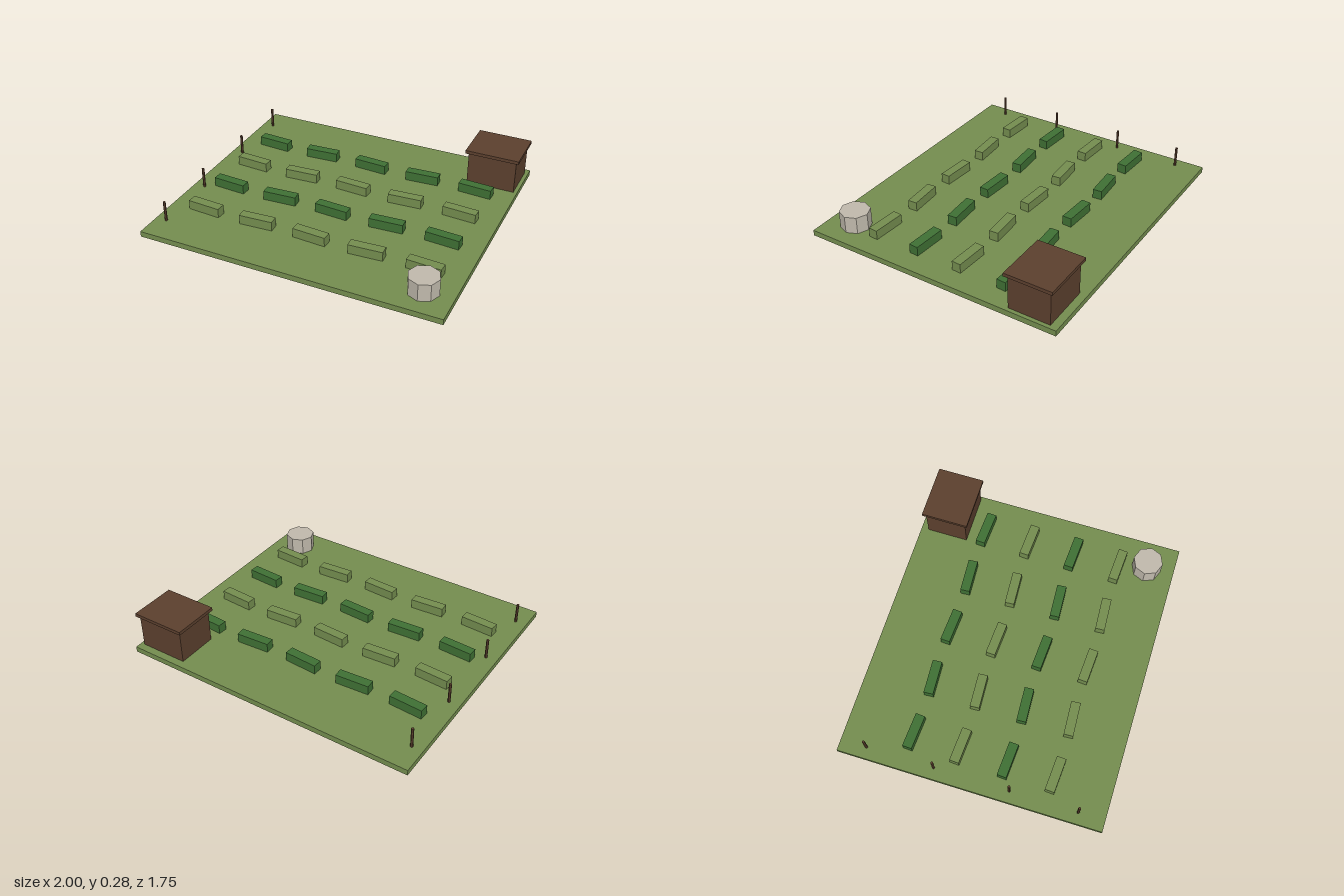
import * as THREE from 'three';

const material = (name, color) => {
  const m = new THREE.MeshStandardMaterial({ color });
  m.name = name;
  return m;
};

export function createModel() {
  const model = new THREE.Group();
  model.name = 'gardenPlot';

  const grass = material('grass green', 0x748d4f);
  const leaf = material('leaf green', 0x3f7034);
  const wood = material('dark wood', 0x5c402e);
  const stone = material('pale stone', 0xc0b9ac);
  const groundTop = 0.0375;

  // Places a part with its underside at height y
  const add = (name, geometry, mat, height, x, y, z) => {
    const mesh = new THREE.Mesh(geometry, mat);
    mesh.name = name;
    mesh.position.set(x, y + height / 2, z);
    model.add(mesh);
    return mesh;
  };
  const box = (name, mat, w, h, d, x, y, z) =>
    add(name, new THREE.BoxGeometry(w, h, d), mat, h, x, y, z);
  const cylinder = (name, mat, r, h, sides, x, y, z) => {
    const geometry = new THREE.CylinderGeometry(r, r, h, sides).toNonIndexed();
    geometry.computeVertexNormals(); // faceted sides
    return add(name, geometry, mat, h, x, y, z);
  };

  // Ground slab
  box('ground', grass, 2, groundTop, 1.75, 0, 0, 0);

  // Crop rows, alternating in colour by row and in tilt by column
  for (let row = 0; row < 4; row++) {
    for (let col = 0; col < 5; col++) {
      const crop = box('cropRow', row % 2 ? grass : leaf, 0.225, 0.0625, 0.0625,
        -0.75 + col * 0.375, groundTop, -0.4375 + row * 0.3125);
      crop.rotation.y = col % 2 ? 0.06 : -0.06;
    }
  }

  // Shed with a flat overhanging roof
  box('shedWalls', wood, 0.325, 0.225, 0.275, 0.8125, groundTop, -0.6875);
  box('shedRoof', wood, 0.3625, 0.0225, 0.3125, 0.8125, 0.2625, -0.6875);

  // Eight-sided water tank
  cylinder('waterTank', stone, 0.0985, 0.1145, 8, 0.8105, groundTop, 0.6875);

  // Fence posts along the right edge
  for (const z of [-0.7, -0.25, 0.25, 0.7]) {
    cylinder('fencePost', wood, 0.009, 0.1375, 6, -0.925, groundTop, z);
  }

  return model;
}
